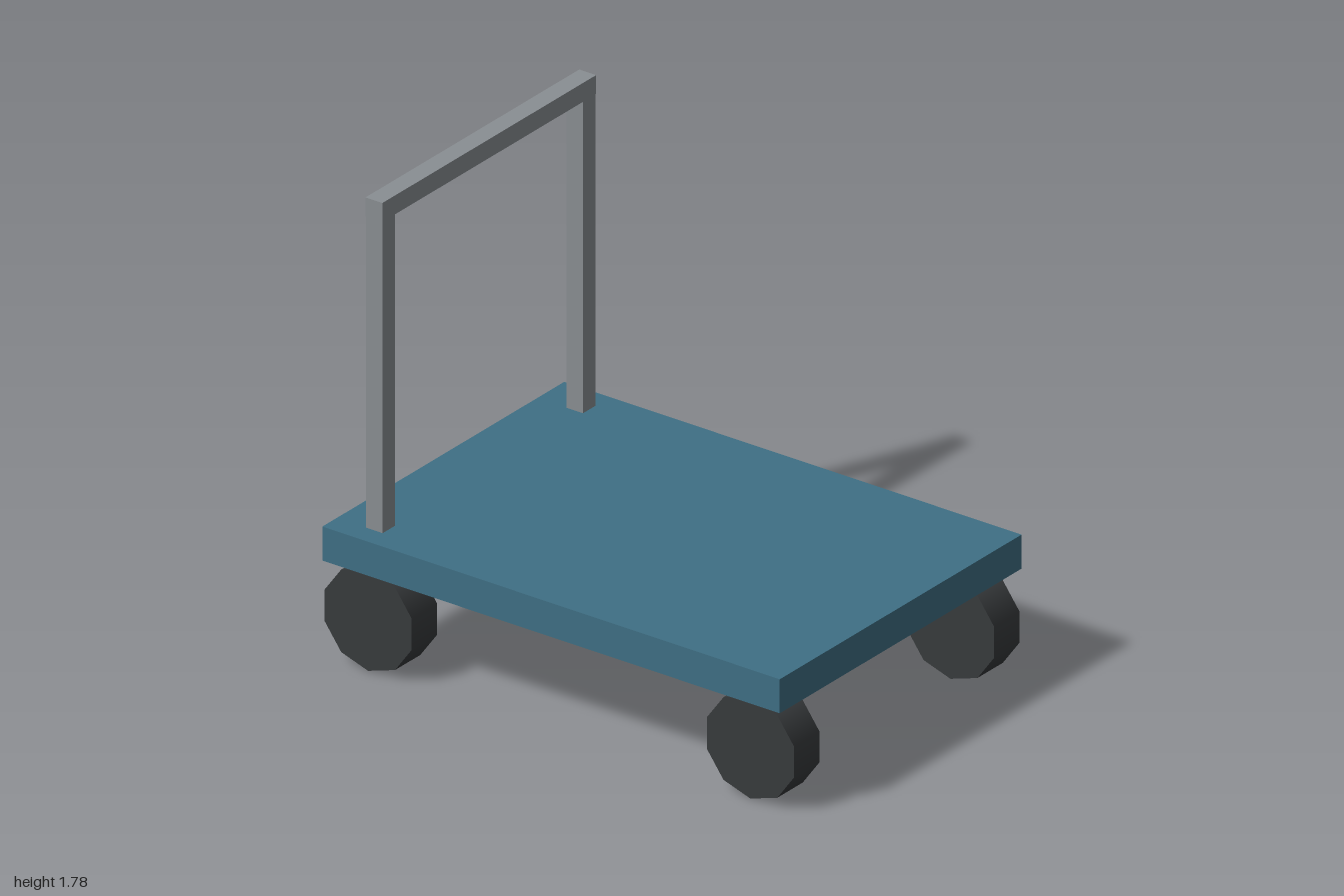
import * as THREE from 'three';

const paint = (color) => new THREE.MeshStandardMaterial({ color });

export function createModel() {
  const model = new THREE.Group();
  model.name = 'platformCart';
  const blue = paint(0x3f7085), steel = paint(0x8a8f93), rubber = paint(0x383b3d);

  const add = (name, geometry, material, x, y, z) => {
    const mesh = new THREE.Mesh(geometry, material);
    mesh.name = name;
    mesh.position.set(x, y, z);
    model.add(mesh);
  };

  // Flat load deck
  add('deck', new THREE.BoxGeometry(1.38, 0.13, 1.95), blue, 0, 0.457, 0);

  // Push handle: two posts and a slightly wider crossbar
  const postGeometry = new THREE.BoxGeometry(0.072, 1.19, 0.07);
  add('handleBar', new THREE.BoxGeometry(1.22, 0.072, 0.072), steel, 0, 1.748, -0.815);

  // Ten-sided wheels with a corner pointing straight up
  const wheelGeometry = new THREE.CylinderGeometry(0.195, 0.195, 0.145, 10, 1, false, Math.PI / 2);
  wheelGeometry.rotateZ(Math.PI / 2);

  for (const [side, s] of [['left', 1], ['right', -1]]) {
    add(side + 'Post', postGeometry, steel, s * 0.572, 1.117, -0.815);
    add(side + 'FrontWheel', wheelGeometry, rubber, s * 0.571, 0.195, 0.815);
    add(side + 'BackWheel', wheelGeometry, rubber, s * 0.571, 0.195, -0.815);
  }
  return model;
}
